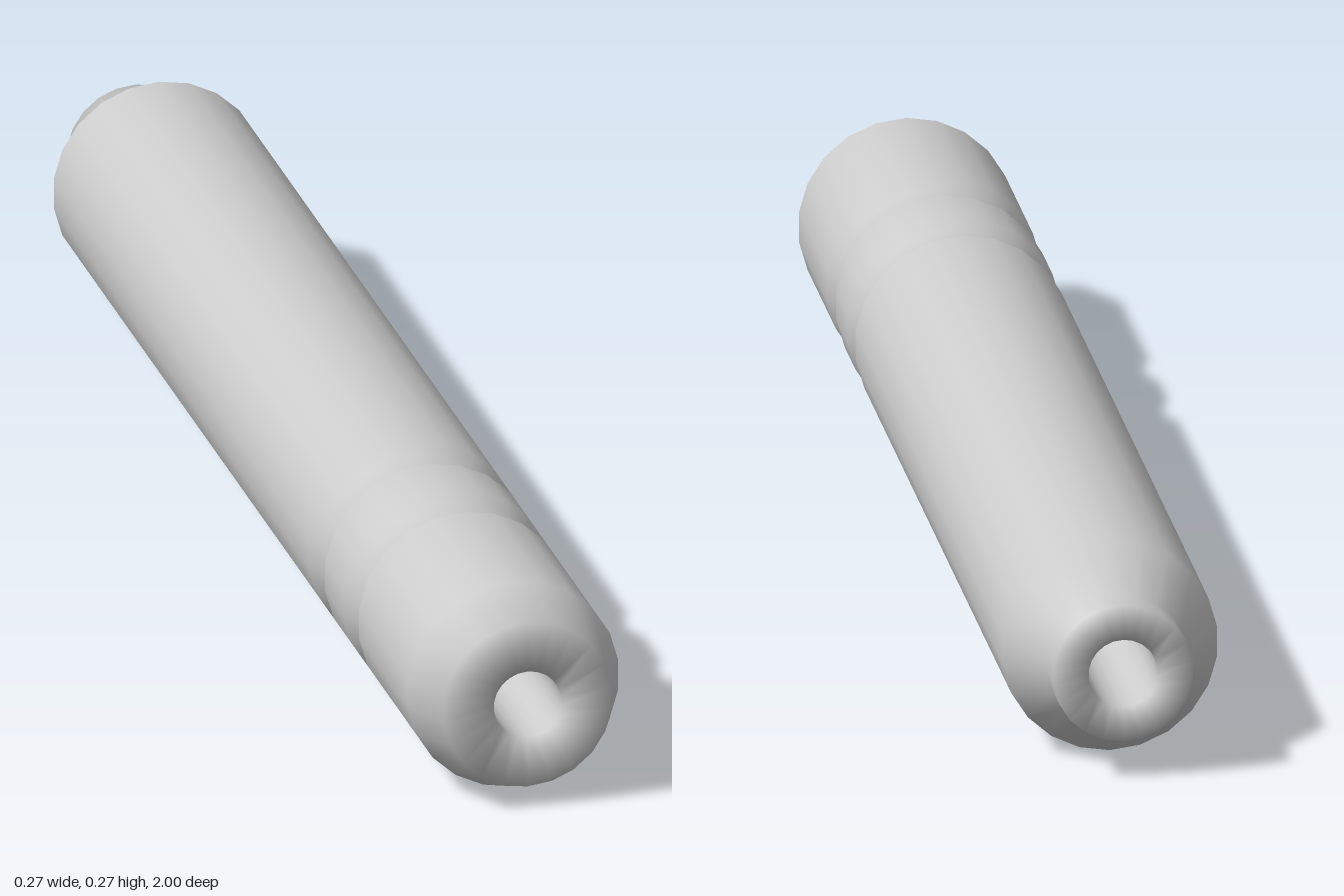
import * as THREE from 'three';

const R = 0.134;      // outer radius
const GROOVE = 0.125; // radius at the bottom of a groove
const BORE = 0.043;   // radius of the through hole
const SIDES = 22;

// Shallow ring groove running from z to z + 0.08
const groove = (z) => [[R, z], [GROOVE, z + 0.018], [GROOVE, z + 0.06], [R, z + 0.08]];

export function createModel() {
  const group = new THREE.Group();
  group.name = 'hollowRod';

  // Closed [radius, z] section: bore to the back, outer wall to the front, bore again
  const profile = [
    [BORE, 0], [BORE, -1],
    [0.087, -1], [0.087, -0.95], // neck
    [R, -0.88],                  // shoulder
    ...groove(0.422),
    ...groove(0.595),
    [R, 0.925], [0.107, 1],      // chamfered front
    [BORE, 1], [BORE, 0],
  ].map(([r, z]) => new THREE.Vector2(r, z));

  const geometry = new THREE.LatheGeometry(profile, SIDES);
  geometry.rotateX(Math.PI / 2); // lay the axis along z
  geometry.translate(0, R, 0);

  const tube = new THREE.Mesh(geometry, new THREE.MeshStandardMaterial({ color: 0xcccccc }));
  tube.name = 'groovedTube';
  group.add(tube);
  return group;
}
